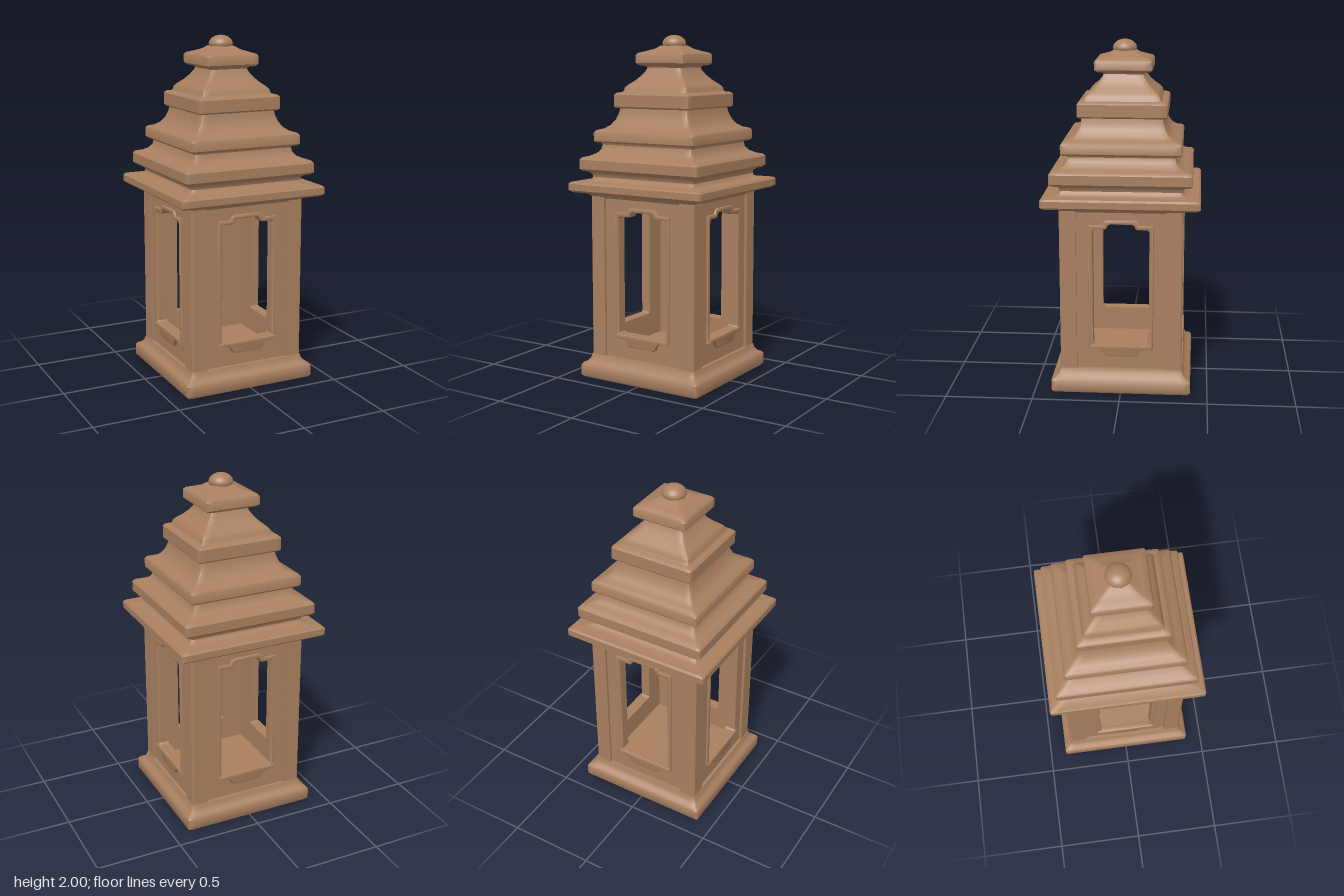
import * as THREE from 'three';
import { toCreasedNormals } from 'three/addons/utils/BufferGeometryUtils.js';

const clay = new THREE.MeshStandardMaterial({ color: 0xa87f5f });
clay.name = 'brown clay';

// Closed solid with softly rounded square sections; profile = [half width, height]
function squareLoft(profile) {
  const positions = [], index = [], n = 20;
  for (const [h, y] of profile) {
    const r = Math.min(0.012, h), g = Math.min(0.03, (h - r) / 2);
    const m = h - r + r * Math.SQRT1_2;
    const corner = [[h, h - r - g], [h, h - r], [m, m], [h - r, h], [h - r - g, h]];
    for (let k = 0; k < 4; k++) {
      const c = [1, 0, -1, 0][k], s = [0, 1, 0, -1][k];
      for (const [u, v] of corner) positions.push(u * c - v * s, y, -(u * s + v * c));
    }
  }
  for (let i = 0; i < profile.length - 1; i++) {
    for (let j = 0; j < n; j++) {
      const a = i * n + j, b = i * n + (j + 1) % n;
      index.push(a, b, b + n, a, b + n, a + n);
    }
  }
  const geo = new THREE.BufferGeometry();
  geo.setAttribute('position', new THREE.Float32BufferAttribute(positions, 3));
  geo.setIndex(index);
  return toCreasedNormals(geo, 0.7);
}

const path = (pts) => pts.map(([x, y]) => new THREE.Vector2(x, y));
// Half outline (x >= 0, bottom to top) mirrored into a full one
const mirrored = (half) => path([...half, ...half.map(([x, y]) => [-x, y]).reverse()]);

// Plate between z0 and z1 with an optional bevelled edge
function plate(outline, hole, z0, z1, bevel = 0) {
  const shape = new THREE.Shape(outline);
  if (hole) shape.holes.push(new THREE.Path(hole));
  const geo = new THREE.ExtrudeGeometry(shape, {
    depth: z1 - z0 - bevel, bevelEnabled: bevel > 0, bevelThickness: bevel,
    bevelSize: bevel, bevelOffset: -bevel, bevelSegments: 2,
  });
  geo.translate(0, 0, z0);
  return toCreasedNormals(geo, 0.7);
}

export function createModel() {
  const model = new THREE.Group();
  model.name = 'gardenLantern';
  const add = (name, geo, parent = model) => {
    const mesh = new THREE.Mesh(geo, clay);
    mesh.name = name;
    parent.add(mesh);
    return mesh;
  };

  // Plinth; its top is the lantern floor
  add('base', squareLoft([
    [0, 0], [0.392, 0], [0.402, 0.012], [0.402, 0.072], [0.392, 0.084],
    [0.372, 0.095], [0.36, 0.112], [0.354, 0.135], [0, 0.135],
  ]));

  // Four window walls with raised trim and a shaped sill
  const opening = mirrored([
    [0.15, 0.28], [0.16, 0.29], [0.16, 0.96], [0.15, 0.97],
    [0.09, 0.97], [0.08, 0.978], [0.075, 0.992], [0.062, 1.0],
  ]);
  const panel = plate(mirrored([[0.3, 0.12], [0.3, 1.09]]), opening, 0.285, 0.334);
  const trim = plate(mirrored([
    [0.185, 0.255], [0.185, 0.995], [0.108, 0.995], [0.098, 1.015], [0.082, 1.025],
  ]), opening, 0.325, 0.346, 0.008);
  const sill = plate(mirrored([
    [0.08, 0.21], [0.095, 0.218], [0.108, 0.245], [0.125, 0.256], [0.18, 0.256], [0.18, 0.281],
  ]), null, 0.325, 0.358, 0.01);
  // L-shaped corner post
  const post = plate(path([
    [0.255, 0.289], [0.289, 0.289], [0.289, 0.255], [0.35, 0.255],
    [0.35, 0.342], [0.342, 0.35], [0.255, 0.35],
  ]), null, 0, 0.96);
  post.rotateX(-Math.PI / 2);
  post.translate(0, 0.125, 0);

  for (let i = 0; i < 4; i++) {
    const side = new THREE.Group();
    side.name = ['front', 'left', 'back', 'right'][i] + 'Wall';
    side.rotation.y = i * Math.PI / 2;
    add('windowPanel', panel, side);
    add('windowTrim', trim, side);
    add('windowSill', sill, side);
    add('cornerPost', post, side);
    model.add(side);
  }

  // Stepped roof, from the eaves to the cap
  add('eaves', squareLoft([
    [0, 1.07], [0.345, 1.07], [0.356, 1.085], [0.375, 1.097], [0.43, 1.103], [0.445, 1.115],
    [0.445, 1.152], [0.435, 1.162], [0.37, 1.165], [0.35, 1.175], [0.342, 1.192], [0, 1.192],
  ]));
  add('lowerRoofTier', squareLoft([
    [0, 1.185], [0.342, 1.185], [0.346, 1.205], [0.362, 1.22], [0.388, 1.225], [0.399, 1.237],
    [0.399, 1.29], [0.388, 1.303], [0.355, 1.311], [0.325, 1.328], [0.308, 1.35],
    [0.302, 1.38], [0, 1.38],
  ]));
  add('middleRoofTier', squareLoft([
    [0, 1.372], [0.302, 1.372], [0.308, 1.385], [0.33, 1.387], [0.339, 1.397], [0.339, 1.445],
    [0.33, 1.458], [0.295, 1.468], [0.268, 1.488], [0.247, 1.52], [0.234, 1.555],
    [0.228, 1.59], [0, 1.59],
  ]));
  add('upperRoofTier', squareLoft([
    [0, 1.583], [0.246, 1.583], [0.254, 1.592], [0.254, 1.66], [0.244, 1.671],
    [0.22, 1.675], [0.213, 1.685], [0.21, 1.7], [0.195, 1.717], [0.165, 1.742],
    [0.138, 1.772], [0.12, 1.8], [0.111, 1.825], [0, 1.825],
  ]));
  add('roofCap', squareLoft([
    [0, 1.81], [0.112, 1.81], [0.122, 1.823], [0.15, 1.828], [0.164, 1.84], [0.164, 1.885],
    [0.154, 1.898], [0.12, 1.909], [0.085, 1.922], [0.06, 1.94], [0, 1.945],
  ]));

  // Rounded finial
  const knob = new THREE.SplineCurve(path([
    [0.05, 1.925], [0.064, 1.937], [0.069, 1.953], [0.062, 1.972],
    [0.045, 1.988], [0.022, 1.998], [0, 2],
  ]));
  add('finial', new THREE.LatheGeometry(knob.getPoints(24), 40));
  return model;
}
